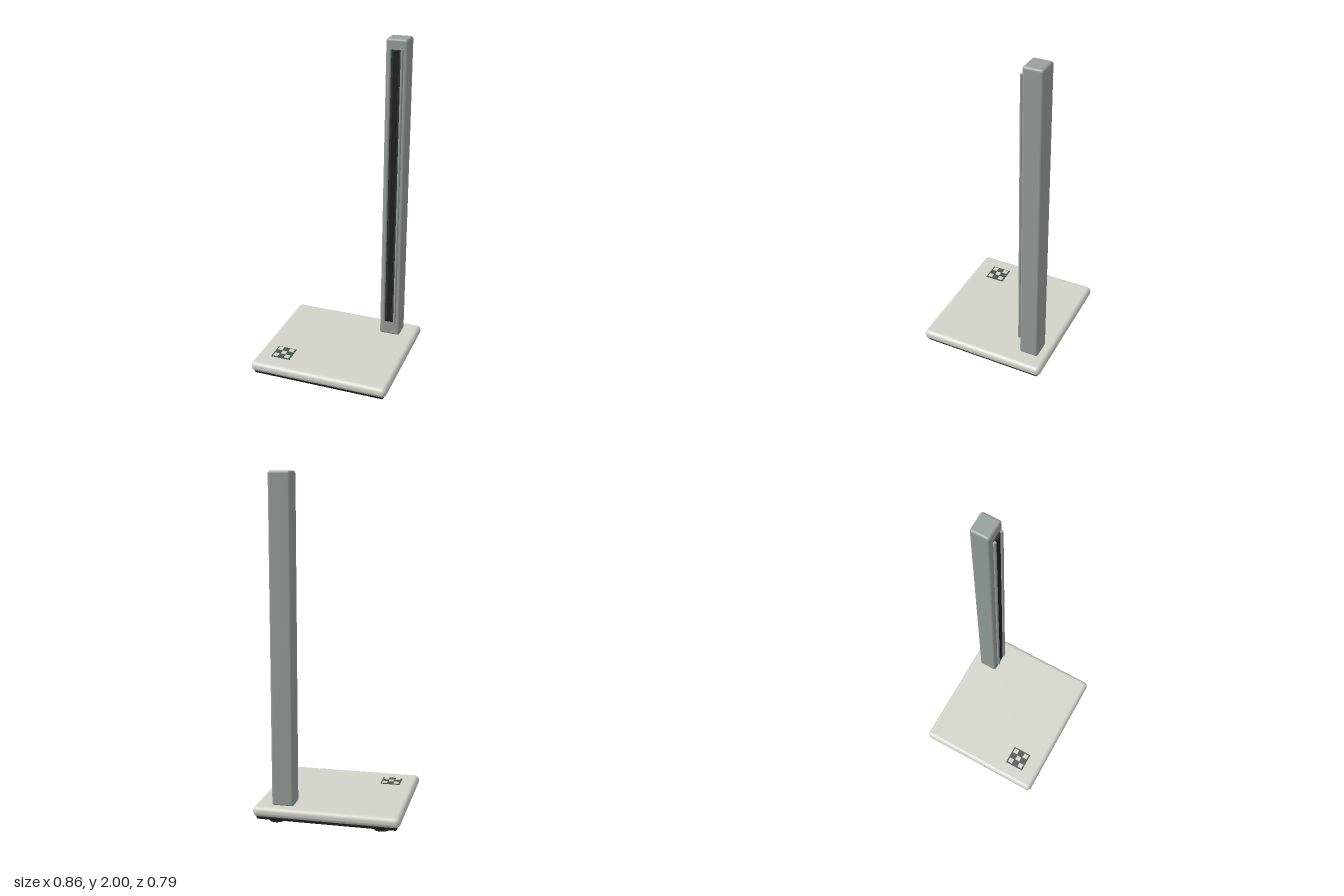
import * as THREE from 'three';
import { RoundedBoxGeometry } from 'three/addons/geometries/RoundedBoxGeometry.js';

const material = (color) => new THREE.MeshStandardMaterial({ color });

export function createModel() {
  const model = new THREE.Group();
  const shell = material(0xd2d4cb);
  const metal = material(0x97a09b);
  const slate = material(0x4a554f);
  const dark = material(0x2c3331);
  const rubber = material(0x1f2221);

  const add = (name, geometry, mat, x, y, z, parent = model) => {
    const mesh = new THREE.Mesh(geometry, mat);
    mesh.name = name;
    mesh.position.set(x, y, z);
    parent.add(mesh);
    return mesh;
  };
  const group = (name) => {
    const g = new THREE.Group();
    g.name = name;
    model.add(g);
    return g;
  };

  // Base slab with its dark underside plate
  add('base', new RoundedBoxGeometry(0.86, 0.062, 0.79, 5, 0.028), shell, 0, 0.075, 0);
  add('undersidePlate', new RoundedBoxGeometry(0.82, 0.024, 0.75, 3, 0.008), rubber, 0, 0.039, 0);

  // Four round feet
  const feet = group('feet');
  for (const x of [-0.31, 0.31])
    for (const z of [-0.288, 0.288])
      add('foot', new THREE.CylinderGeometry(0.046, 0.046, 0.03, 32), rubber, x, 0.015, z, feet);

  // Upright column at the back left corner
  const cx = 0.263;
  add('column', new RoundedBoxGeometry(0.13, 1.9, 0.118, 4, 0.015), metal, cx, 1.05, -0.278);

  // Recessed track and raised centre strip on the column front
  add('track', new THREE.BoxGeometry(0.062, 1.74, 0.01), dark, cx, 1.068, -0.216);
  add('centreStrip', new THREE.BoxGeometry(0.03, 1.73, 0.008), rubber, cx, 1.068, -0.209);

  // Guide rails either side of the track
  const rails = group('guideRails');
  for (const side of [-1, 1])
    add('guideRail', new THREE.CylinderGeometry(0.0085, 0.0085, 1.75, 16), metal, cx + side * 0.036, 1.069, -0.206, rails);

  // Checked tile near the front right corner
  const tile = group('checkedTile');
  const tx = -0.277, tz = 0.227, step = 0.036;
  add('tilePlate', new THREE.BoxGeometry(0.12, 0.006, 0.12), slate, tx, 0.1055, tz, tile);
  for (const [i, j] of [[-1, -1], [1, -1], [0, 0], [-1, 1], [1, 1]])
    add('tileSquare', new THREE.BoxGeometry(0.03, 0.006, 0.03), shell, tx + i * step, 0.1095, tz + j * step, tile);

  return model;
}
